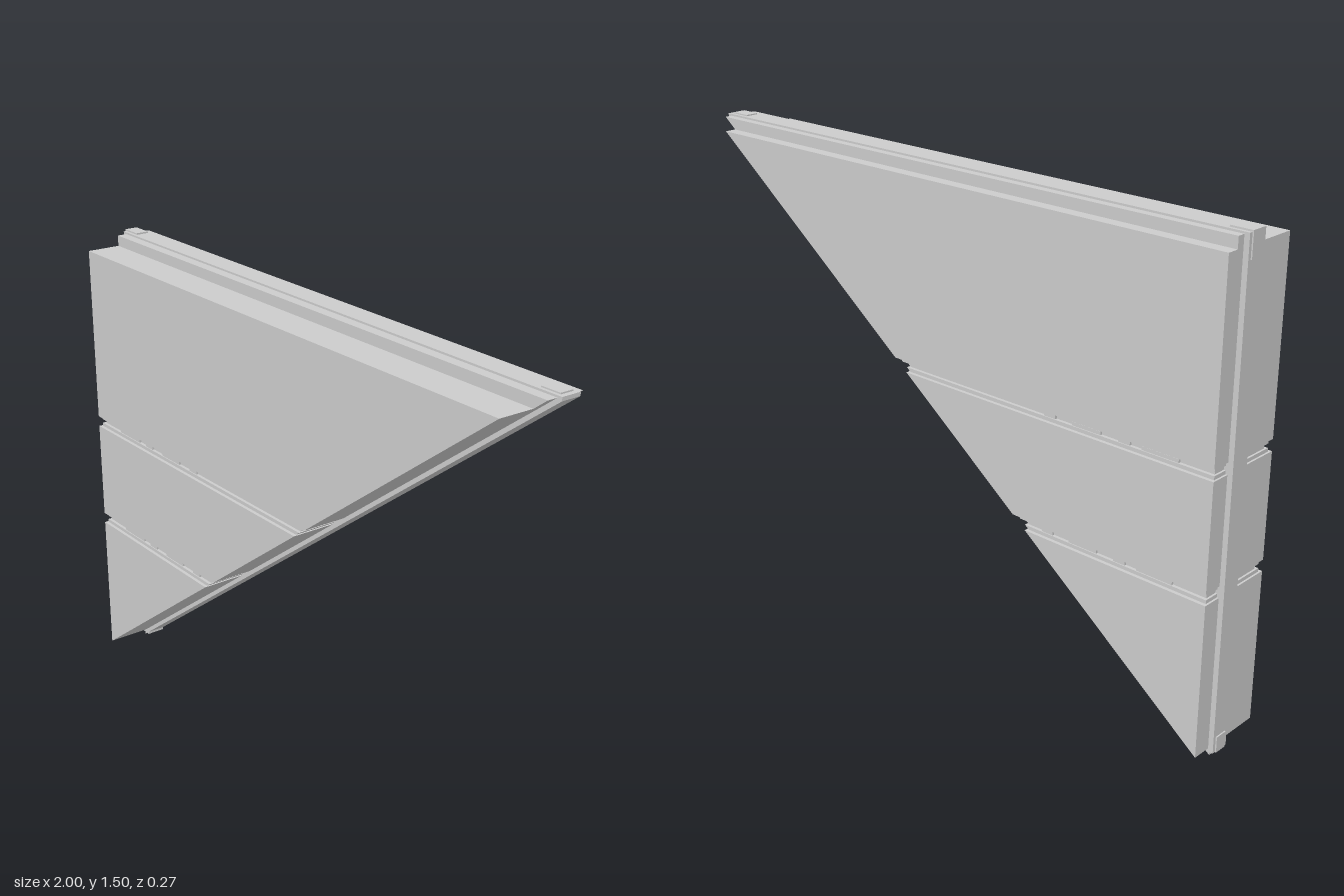
import * as THREE from 'three';

const mat = new THREE.MeshStandardMaterial({ color: 0xcccccc, flatShading: true });
const LEFT = -0.98, BASE = 0.02, SLOPE = 0.75;
const RIDGE_Z = [-0.072, -0.01];

// x of the slanted edge at a given height
const slantX = (y) => LEFT + (y - BASE) / SLOPE;

// Flat polygon pulled from z0 to z1
function prism(name, points, z0, z1) {
  const shape = new THREE.Shape(points.map(([x, y]) => new THREE.Vector2(x, y)));
  const geo = new THREE.ExtrudeGeometry(shape, { depth: z1 - z0, bevelEnabled: false });
  geo.translate(0, 0, z0);
  const mesh = new THREE.Mesh(geo, mat);
  mesh.name = name;
  return mesh;
}

// Horizontal slice of the triangular wall, optionally inset at its two ends
function slice(name, y0, y1, halfDepth, inset = 0) {
  const points = [[LEFT + inset, y0]];
  if (slantX(y0) - inset > LEFT + inset + 0.001) points.push([slantX(y0) - inset, y0]);
  points.push([slantX(y1) - inset, y1], [LEFT + inset, y1]);
  return prism(name, points, -halfDepth, halfDepth);
}

function block(name, x0, x1, y0, y1, z0, z1) {
  const mesh = new THREE.Mesh(new THREE.BoxGeometry(x1 - x0, y1 - y0, z1 - z0), mat);
  mesh.position.set((x0 + x1) / 2, (y0 + y1) / 2, (z0 + z1) / 2);
  mesh.name = name;
  return mesh;
}

export function createModel() {
  const model = new THREE.Group();
  model.name = 'triangularWall';

  // Three wall panels
  [[BASE, 0.495], [0.53, 0.855], [0.89, 1.46]].forEach(([y0, y1], i) =>
    model.add(slice('wallPanel' + (i + 1), y0, y1, 0.133)));

  // Stepped grooves between the panels, with small fittings inside
  [0.495, 0.855].forEach((y, i) => {
    const groove = new THREE.Group();
    groove.name = 'groove' + (i + 1);
    groove.add(
      slice('grooveLowerStep', y, y + 0.011, 0.122, 0.006),
      slice('grooveCore', y + 0.011, y + 0.024, 0.112, 0.012),
      slice('grooveUpperStep', y + 0.024, y + 0.035, 0.122, 0.006));
    const fittings = [[-0.86, -0.74, 0.012], [-0.7, -0.66, 0.016], [-0.6, -0.5, 0.012], [-0.44, -0.4, 0.014]];
    for (const [x0, x1, h] of fittings) {
      groove.add(block('grooveFitting', x0, x1, y + 0.01, y + 0.01 + h, -0.119, 0.119));
    }
    model.add(groove);
  });

  // Top cap with a raised ridge
  model.add(prism('topCap',
    [[LEFT, 1.46], [slantX(1.46), 1.46], [0.985, 1.494], [LEFT, 1.494]], -0.096, 0.022));
  model.add(prism('topRidge',
    [[-0.995, 1.47], [0.955, 1.47], [0.997, 1.5], [-0.995, 1.5]], ...RIDGE_Z));

  // Ridges along the upright and slanted edges
  model.add(block('uprightRidge', -0.996, -0.96, 0.01, 1.5, ...RIDGE_Z));
  model.add(prism('slantedRidge',
    [[-0.985, 0.0], [1.0, 1.489], [1.0, 1.5], [0.96, 1.5], [-0.985, 0.04]], ...RIDGE_Z));

  // Small connectors at the ridge corners
  model.add(block('topLeftConnector', -1.0, -0.93, 1.485, 1.505, -0.062, -0.02));
  model.add(block('topRightConnector', 0.92, 0.985, 1.488, 1.504, -0.062, -0.02));
  model.add(block('upperSideConnector', -1.0, -0.97, 1.43, 1.5, -0.062, -0.02));
  model.add(block('lowerSideConnector', -1.0, -0.97, 0.01, 0.06, -0.062, -0.02));
  return model;
}
